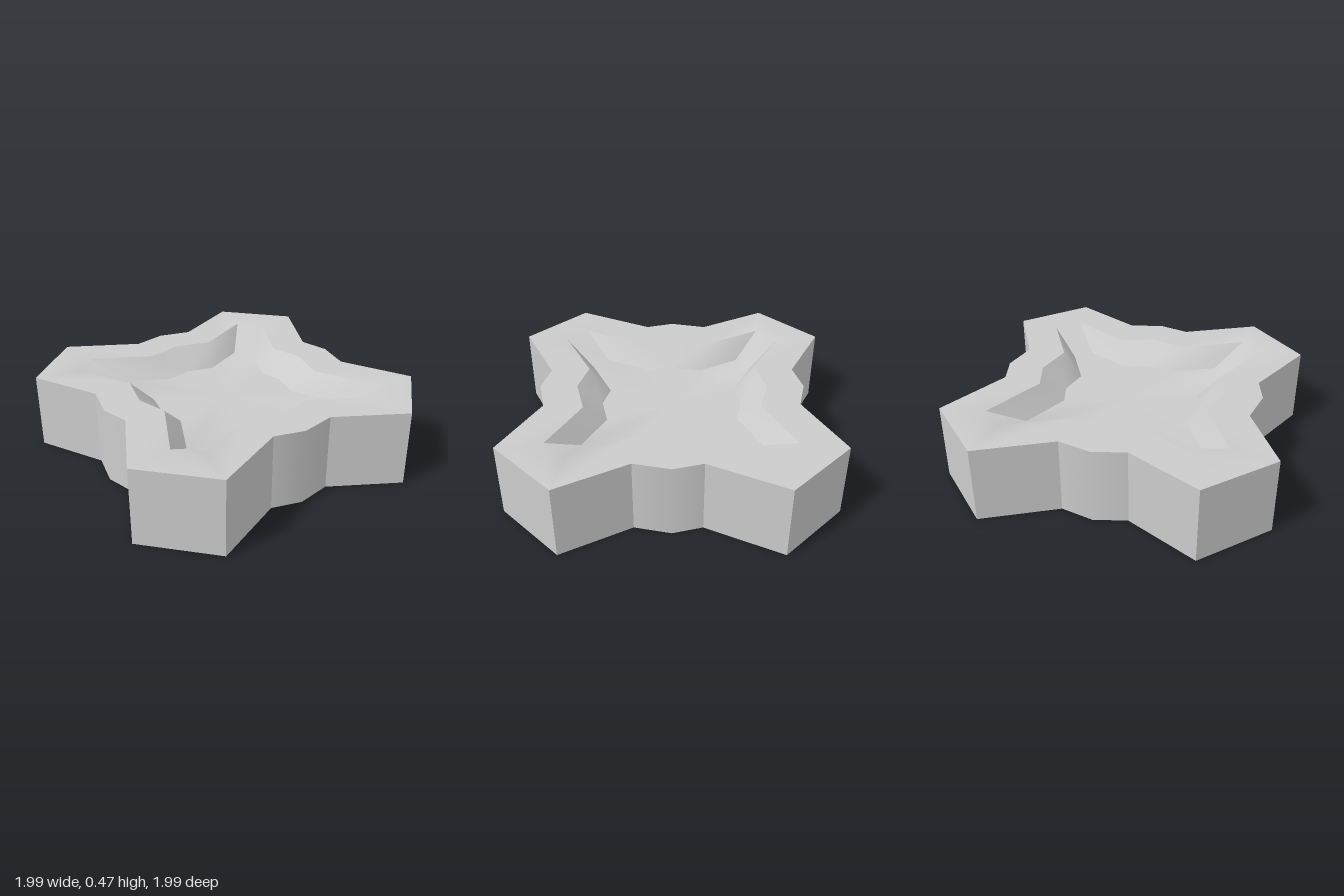
import * as THREE from 'three';
import { toCreasedNormals } from 'three/addons/utils/BufferGeometryUtils.js';

const HEIGHT = 0.47, DEPTH = 0.13;

// One side of each ring as [distance along the side, distance from the centre]
const OUTLINE = [[-0.635, 0.995], [-0.2, 0.775], [0, 0.823], [0.2, 0.775], [0.635, 0.995]];
const RIM = [[-0.59, 0.72], [-0.22, 0.535], [0, 0.593], [0.22, 0.535], [0.59, 0.72]];
const FLOOR = [[-0.44, 0.535], [-0.165, 0.4], [0, 0.44], [0.165, 0.4], [0.44, 0.535]];
// Slight sideways shift of the notches: front, left, back, right
const NOTCH_SHIFT = [0.015, -0.02, 0, -0.025];

// Repeat a side four times around the centre at height y
function makeRing(side, y) {
  const ring = [];
  NOTCH_SHIFT.forEach((shift, k) => {
    const turn = k * Math.PI / 2;
    side.forEach(([t, d], i) => {
      const along = i === 1 || i === 3 ? t + shift : t;
      ring.push(new THREE.Vector3(along, y, d).applyAxisAngle(new THREE.Vector3(0, 1, 0), turn));
      ring[ring.length - 1].z -= 0.005;
    });
  });
  return ring;
}

// Join consecutive rings, closing the first and last with a fan
function loft(rings) {
  const points = [];
  const n = rings[0].length;
  const tri = (...corners) => corners.forEach((p) => points.push(p.x, p.y, p.z));
  for (let r = 0; r < rings.length - 1; r++) {
    const a = rings[r], b = rings[r + 1];
    for (let i = 0; i < n; i++) {
      const j = (i + 1) % n;
      // mirror the diagonal on the second half of each side
      if (i % 5 < 2) {
        tri(a[i], a[j], b[j]);
        tri(a[i], b[j], b[i]);
      } else {
        tri(a[i], a[j], b[i]);
        tri(a[j], b[j], b[i]);
      }
    }
  }
  const first = rings[0], last = rings[rings.length - 1];
  const bottom = new THREE.Vector3(0, first[0].y, 0);
  const top = new THREE.Vector3(0, last[0].y, 0);
  for (let i = 0; i < n; i++) {
    const j = (i + 1) % n;
    tri(bottom, first[j], first[i]);
    tri(top, last[i], last[j]);
  }
  const geometry = new THREE.BufferGeometry();
  geometry.setAttribute('position', new THREE.Float32BufferAttribute(points, 3));
  return toCreasedNormals(geometry, THREE.MathUtils.degToRad(36));
}

export function createModel() {
  const group = new THREE.Group();
  group.name = 'starBlock';

  // Star-shaped slab with a recess in both faces that ramps up at the corners
  const slab = new THREE.Mesh(
    loft([
      makeRing(FLOOR, DEPTH),
      makeRing(RIM, 0),
      makeRing(OUTLINE, 0),
      makeRing(OUTLINE, HEIGHT),
      makeRing(RIM, HEIGHT),
      makeRing(FLOOR, HEIGHT - DEPTH),
    ]),
    new THREE.MeshStandardMaterial({ color: 0xcccccc }),
  );
  slab.name = 'recessedSlab';
  group.add(slab);
  return group;
}
